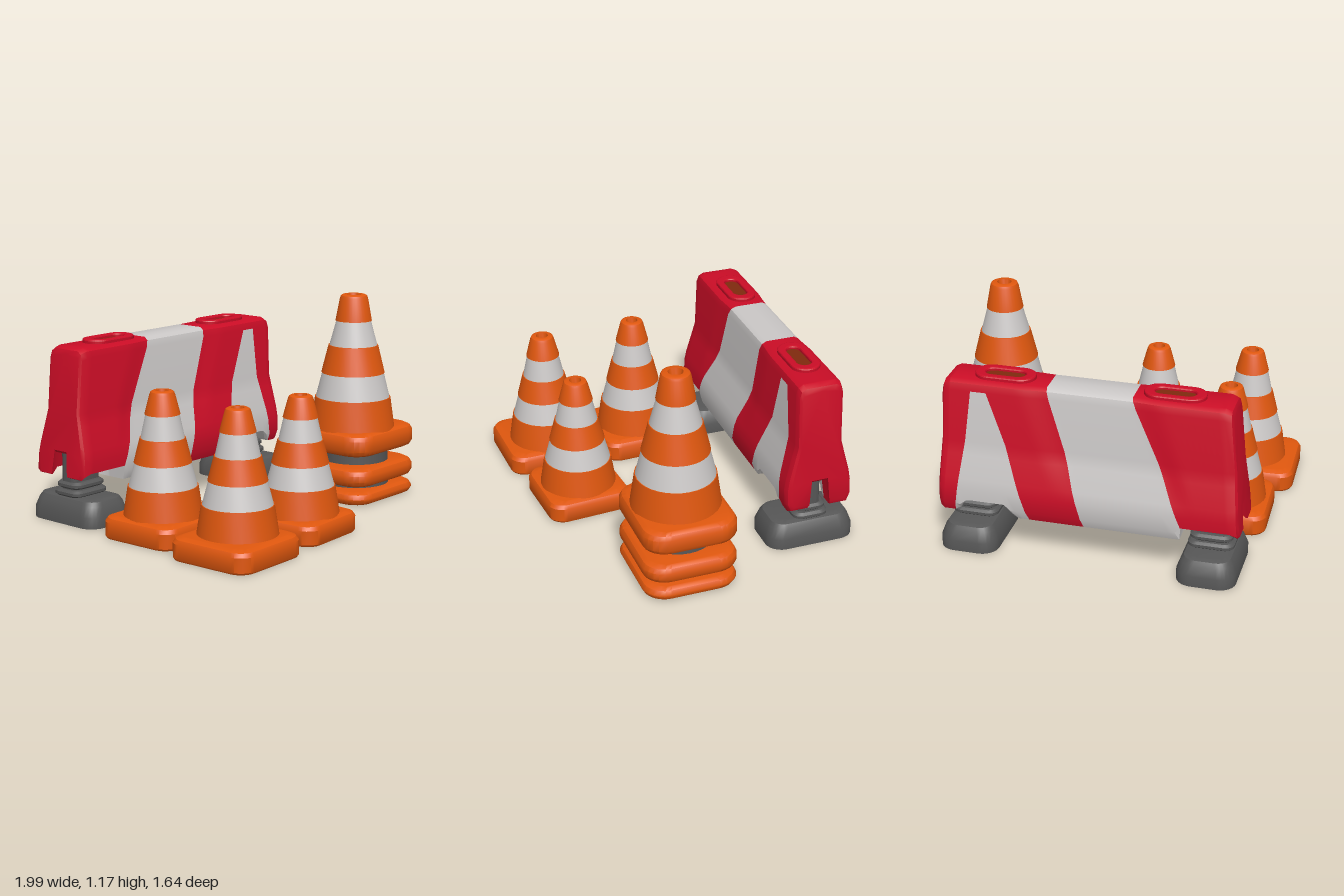
import * as THREE from 'three';
import { toCreasedNormals } from 'three/addons/utils/BufferGeometryUtils.js';

const paint = (name, color) => Object.assign(new THREE.MeshStandardMaterial({ color }), { name });

function makeMesh(name, geometry, material, parent) {
  const mesh = new THREE.Mesh(geometry, material);
  mesh.name = name;
  parent.add(mesh);
  return mesh;
}

// Skin closed rings of points; pick(i, j) gives the material slot of each quad.
function loft(rings, flatAxes, pick = () => 0) {
  const slots = [[], []];
  const n = rings[0].length;
  const put = (slot, ...pts) => pts.forEach(p => slots[slot].push(p.x, p.y, p.z));
  for (let i = 0; i < rings.length - 1; i++) {
    for (let j = 0; j < n; j++) {
      const k = (j + 1) % n, s = pick(i, j);
      const a = rings[i][j], b = rings[i][k], c = rings[i + 1][k], d = rings[i + 1][j];
      put(s, a, b, c);
      put(s, a, c, d);
    }
  }
  // End caps
  const [u, v] = flatAxes;
  const axis = ['x', 'y', 'z'].find(q => !flatAxes.includes(q));
  [[rings[0], -1], [rings[rings.length - 1], 1]].forEach(([ring, side]) => {
    const flat = ring.map(p => new THREE.Vector2(p[u], p[v]));
    THREE.ShapeUtils.triangulateShape(flat, []).forEach(t => {
      const [a, b, c] = t.map(q => ring[q]);
      const normal = b.clone().sub(a).cross(c.clone().sub(a));
      if (normal[axis] * side >= 0) put(0, a, b, c);
      else put(0, a, c, b);
    });
  });
  const geometry = new THREE.BufferGeometry();
  geometry.setAttribute('position', new THREE.Float32BufferAttribute(slots.flat(), 3));
  geometry.addGroup(0, slots[0].length / 3, 0);
  if (slots[1].length) geometry.addGroup(slots[0].length / 3, slots[1].length / 3, 1);
  return toCreasedNormals(geometry, 0.6);
}

// Rounded block: half sizes, corner radius, and a profile of [inset, y]
function block(hx, hz, radius, profile) {
  const rings = profile.map(([inset, y]) => {
    const ring = [];
    for (let q = 0; q < 4; q++) {
      const sx = q < 2 ? 1 : -1, sz = q === 0 || q === 3 ? 1 : -1;
      for (let i = 0; i <= 6; i++) {
        const t = (q + i / 6) * Math.PI / 2, r = radius - inset * 0.5;
        ring.push(new THREE.Vector3(
          sx * (hx - inset - r) + r * Math.sin(t), y, sz * (hz - inset - r) + r * Math.cos(t)));
      }
    }
    return ring;
  });
  return loft(rings, ['x', 'z']);
}

const pillow = h => [[0.035, 0], [0.012, 0.012], [0, 0.035], [0, h - 0.035], [0.012, h - 0.012], [0.035, h]];

// Striped conical body with a dimpled tip
function coneBody(ys, rs, orange, white) {
  const group = new THREE.Group();
  group.name = 'coneBody';
  for (let i = 0; i < 5; i++) {
    const isOrange = i % 2 === 0, lip = isOrange ? 0.005 : 0;
    const [y0, y1, r0, r1] = [ys[i], ys[i + 1], rs[i], rs[i + 1]];
    const pts = [[r0 - 0.004, y0], [r0 + lip, y0]];
    if (i < 4) pts.push([r1 + lip, y1], [r1 - 0.004, y1]);
    else pts.push([r1 + 0.006, y1 - 0.02], [r1, y1 - 0.006], [r1 - 0.012, y1],
      [r1 * 0.55, y1], [r1 * 0.45, y1 - 0.035], [0, y1 - 0.035]);
    const lathe = new THREE.LatheGeometry(pts.map(p => new THREE.Vector2(...p)), 32);
    makeMesh(isOrange ? 'orangeBand' : 'whiteBand', toCreasedNormals(lathe, 0.6),
      isOrange ? orange : white, group);
  }
  return group;
}

// Barrier shell: one cross-section swept between slanted stripe edges
function barrierShell() {
  const half = [[0, 0.968], [0.09, 0.968], [0.118, 0.952], [0.13, 0.915], [0.13, 0.62], [0.148, 0.55],
    [0.182, 0.42], [0.192, 0.36], [0.192, 0.27], [0.172, 0.22], [0.07, 0.21], [0.055, 0.21], [0, 0.21]];
  const smooth = THREE.MathUtils.smoothstep;
  const section = (xTop, xBottom, shrink = 0) => {
    // Underside rises over the feet and opens into a slot at each end
    const d = xBottom > 0 ? xBottom - 0.34 : -xBottom - 0.54;
    const notch = 0.21 + 0.09 * smooth(d, 0, 0.05) - 0.075 * smooth(d, 0.28, 0.34);
    const slot = d > 0.04 ? 0.385 : 0.21;
    const waist = 1 - 0.1 * (1 - smooth(Math.abs(xTop + 0.04), 0.22, 0.4));
    const place = ([z, y], k, sign) => {
      const yy = Math.max(y, k > 10 ? Math.max(slot, notch) : notch);
      const x = THREE.MathUtils.lerp(xBottom, xTop, (yy - 0.21) / 0.758);
      return new THREE.Vector3(x, 0.6 + (yy - 0.6) * (1 - shrink * 0.6),
        sign * z * (y > 0.5 ? waist : 1) * (1 - shrink));
    };
    const front = half.map((p, k) => place(p, k, 1));
    const back = half.map((p, k) => place(p, k, -1)).slice(1, -1).reverse();
    return [...front, ...back];
  };
  // Stripe edges: x at the top, x at the bottom
  const edges = [[-0.755, -0.82], [-0.27, -0.59], [0.19, -0.03], [0.53, 0.27], [0.59, 0.69], [0.715, 0.75]];
  const rings = [section(-0.80, -0.865, 0.16), section(-0.79, -0.855, 0.06)];
  const stripe = [0, 0];
  const steps = 14;
  for (let e = 0; e < edges.length - 1; e++) {
    for (let i = 0; i < steps; i++) {
      const t = i / steps, mix = q => THREE.MathUtils.lerp(edges[e][q], edges[e + 1][q], t);
      rings.push(section(mix(0), mix(1)));
      stripe.push(e);
    }
  }
  rings.push(section(0.715, 0.75), section(0.745, 0.775, 0.06), section(0.755, 0.785, 0.16));
  const n = rings[0].length;
  return loft(rings, ['z', 'y'], (i, j) => {
    if (stripe[i] === 1) return 1;
    return stripe[i] === 3 && j > 2 && j < n - 3 ? 1 : 0;
  });
}

function slotOutline(Type, length, radius) {
  const path = new Type(), a = length / 2 - radius;
  path.absarc(a, 0, radius, -Math.PI / 2, Math.PI / 2, false);
  path.absarc(-a, 0, radius, Math.PI / 2, Math.PI * 1.5, false);
  path.closePath();
  return path;
}

export function createModel() {
  const orange = paint('safety orange', 0xdf570e);
  const white = paint('reflective white', 0xcbc8c7);
  const red = paint('barrier red', 0xcb0d26);
  const grey = paint('rubber grey', 0x565656);
  const brown = paint('recess brown', 0x802a0e);
  const model = new THREE.Group();
  model.name = 'roadworksSet';

  // Single cones: base centre, tip offset, height scale, turn, half width
  const ys = [0.1, 0.265, 0.385, 0.51, 0.63, 0.75], rs = [0.21, 0.183, 0.15, 0.117, 0.09, 0.062];
  [
    [-0.675, 0, 0, 0, 1.05, 0, 0.243],
    [-0.74, 0.55, 0.03, -0.012, 1.03, 0, 0.253],
    [-0.165, 0.523, 0, 0, 1, 0.04, 0.238],
  ].forEach(([x, z, dx, dz, scale, turn, size]) => {
    const cone = new THREE.Group();
    cone.name = 'trafficCone';
    makeMesh('coneBase', block(size, size, 0.085,
      [[0.006, 0], [0, 0.01], [0, 0.085], [0.012, 0.105], [0.04, 0.116]]), orange, cone);
    const body = coneBody(ys, rs, orange, white);
    body.position.set(dx, 0, dz);
    cone.add(body);
    cone.position.set(x, 0, z);
    cone.rotation.y = turn;
    cone.scale.y = scale;
    model.add(cone);
  });

  // Stack of nested cones
  const stack = new THREE.Group();
  stack.name = 'coneStack';
  [[0, 0.075], [0.105, 0.105], [0.28, 0.13]].forEach(([y, h]) => {
    makeMesh('stackedBase', block(0.29, 0.26, 0.12, pillow(h)), orange, stack).position.y = y;
  });
  makeMesh('nestedCore', new THREE.CylinderGeometry(0.19, 0.2, 0.26, 32), grey, stack).position.y = 0.18;
  const tall = coneBody([0.39, 0.58, 0.72, 0.88, 1.02, 1.17], [0.24, 0.212, 0.177, 0.137, 0.099, 0.074], orange, white);
  tall.position.x = -0.025;
  stack.add(tall);
  stack.position.set(0.705, 0, 0.265);
  stack.rotation.y = -0.03;
  model.add(stack);

  // Barrier
  const barrier = new THREE.Group();
  barrier.name = 'barrier';
  makeMesh('barrierShell', barrierShell(), [red, white], barrier);

  // Raised hand grips on the top edge
  [-0.475, 0.44].forEach(x => {
    const rim = slotOutline(THREE.Shape, 0.31, 0.072);
    rim.holes.push(slotOutline(THREE.Path, 0.24, 0.05));
    const rimGeometry = new THREE.ExtrudeGeometry(rim, {
      depth: 0.02, bevelThickness: 0.008, bevelSize: 0.01, bevelSegments: 2, curveSegments: 10 });
    rimGeometry.rotateX(-Math.PI / 2);
    makeMesh('gripRim', rimGeometry, red, barrier).position.set(x, 0.962, 0);
    const floor = new THREE.ShapeGeometry(slotOutline(THREE.Shape, 0.25, 0.055), 10);
    floor.rotateX(-Math.PI / 2);
    makeMesh('gripRecess', floor, brown, barrier).position.set(x, 0.972, 0);
  });

  // Ballast feet with ribbed necks
  [[-0.695, -0.01], [0.62, 0.02]].forEach(([x, z]) => {
    const foot = new THREE.Group();
    foot.name = 'foot';
    makeMesh('footBlock', block(0.16, 0.25, 0.09,
      [[0, 0], [0, 0.06], [0.02, 0.115], [0.035, 0.138], [0.06, 0.146]]), grey, foot);
    makeMesh('footNeck', block(0.1, 0.055, 0.03, [[0, 0.14], [0, 0.385]]), grey, foot);
    [0.142, 0.185].forEach((y, i) => {
      makeMesh('neckRib', block(0.125 - i * 0.01, 0.1 - i * 0.01, 0.05,
        [[0.012, 0], [0, 0.01], [0, 0.025], [0.014, 0.037]]), grey, foot).position.y = y;
    });
    foot.position.set(x, 0, z);
    barrier.add(foot);
  });
  barrier.position.z = -0.555;
  barrier.rotation.y = -0.035;
  model.add(barrier);
  return model;
}
